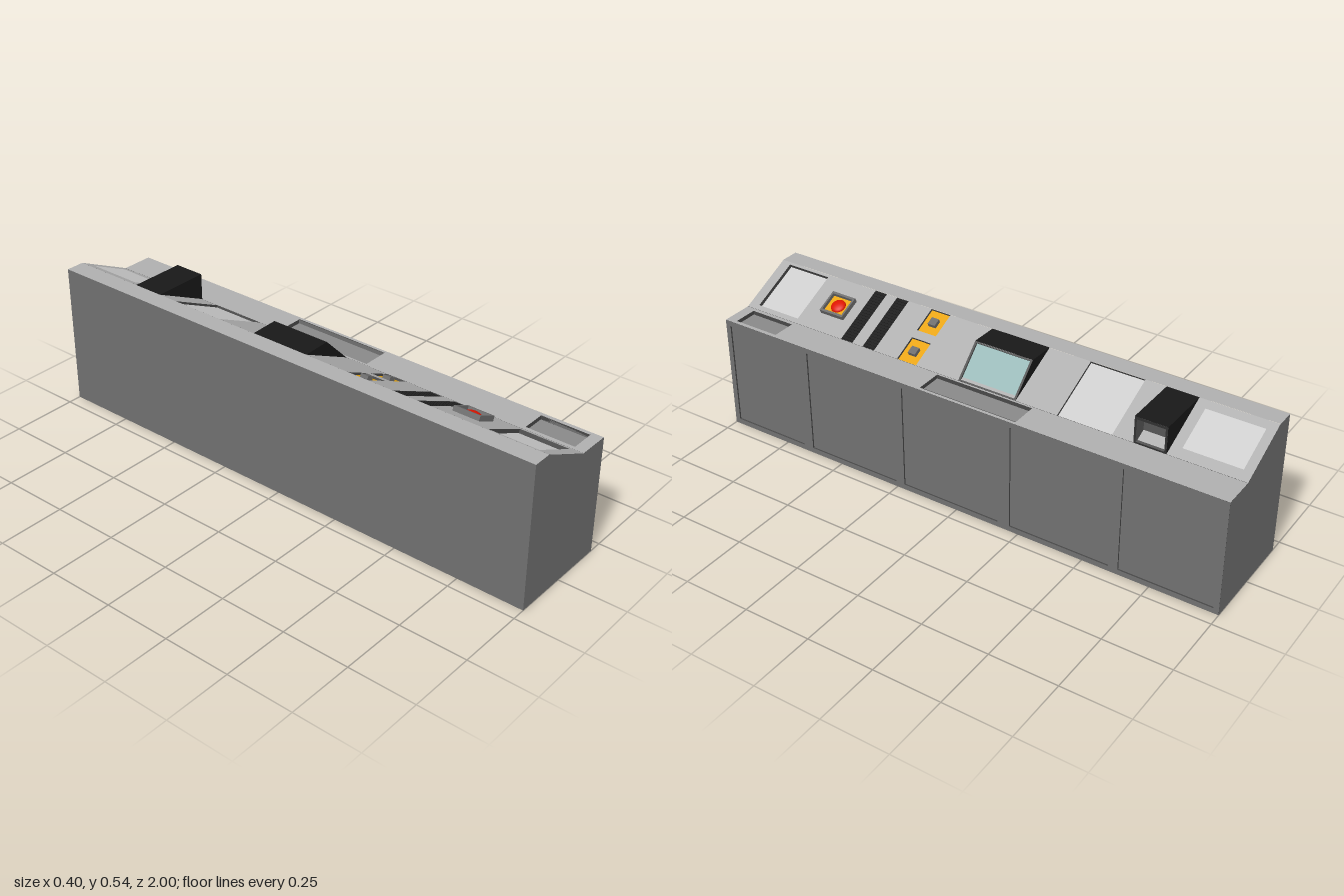
import * as THREE from 'three';

const BASE = 0x707070, TOP = 0xafafaf, LIGHT = 0xcccccc, TRAY = 0x898989, WALL = 0x484848;
const BLACK = 0x181818, FRAME = 0x484848, INNER = 0x555555, STEEL = 0x6c6c6c;
const YELLOW = 0xe8a40c, RED = 0xdd1500, SCREEN = 0x93b5b4;
const mats = {};
const mat = (c) => (mats[c] ??= new THREE.MeshStandardMaterial({ color: c }));

function add(parent, name, geo, color, x = 0, y = 0, z = 0) {
  const m = new THREE.Mesh(geo, Array.isArray(color) ? color.map(mat) : mat(color));
  m.name = name;
  m.position.set(x, y, z);
  parent.add(m);
  return m;
}

function rect(Type, u0, u1, v0, v1) {
  const s = new Type();
  s.moveTo(u0, v0);
  s.lineTo(u1, v0);
  s.lineTo(u1, v1);
  s.lineTo(u0, v1);
  s.closePath();
  return s;
}

// Slab whose top lies at local z = top, pierced by recesses { u: [a, b], v: [a, b], depth, color, name }
function slab(parent, name, u, v, thick, top, color, wall, recesses) {
  const s = rect(THREE.Shape, ...u, ...v);
  recesses.forEach((r) => s.holes.push(rect(THREE.Path, ...r.u, ...r.v)));
  const g = new THREE.ExtrudeGeometry(s, { depth: thick, bevelEnabled: false });
  add(parent, name, g, [color, wall], 0, 0, top - thick);
  for (const r of recesses) {
    const floor = new THREE.PlaneGeometry(r.u[1] - r.u[0], r.v[1] - r.v[0]);
    add(parent, r.name, floor, r.color, (r.u[0] + r.u[1]) / 2, (r.v[0] + r.v[1]) / 2, top - r.depth);
  }
}

// Shell along z around an (x, y) profile; one face per edge, with recesses and colours by edge number.
// Each edge frame: local x along the edge, local y = world z, local z = outwards.
function shell(parent, name, profile, z0, z1, color, { recesses, colors, thick = 0.015, wall = WALL }) {
  const group = new THREE.Group();
  group.name = name;
  parent.add(group);
  const inset = 0.0004; // keeps slab ends just inside the neighbouring faces
  const frames = profile.map(([ax, ay], i) => {
    const [bx, by] = profile[(i + 1) % profile.length];
    const len = Math.hypot(bx - ax, by - ay), dx = (bx - ax) / len, dy = (by - ay) / len;
    const f = new THREE.Group();
    f.name = name + 'Side' + i;
    f.quaternion.setFromRotationMatrix(new THREE.Matrix4().makeBasis(
      new THREE.Vector3(dx, dy, 0), new THREE.Vector3(0, 0, 1), new THREE.Vector3(dy, -dx, 0)));
    f.position.set(ax, ay, 0);
    group.add(f);
    const c = colors[i] ?? color;
    if (recesses[i])
      slab(f, name + 'Panel', [inset, len - inset], [z0 + inset, z1 - inset], thick, 0, c, wall, recesses[i]);
    else add(f, name + 'Panel', new THREE.PlaneGeometry(len, z1 - z0), c, len / 2, (z0 + z1) / 2, 0);
    return f;
  });
  // end caps
  const cap = new THREE.ShapeGeometry(new THREE.Shape(profile.map((p) => new THREE.Vector2(...p))));
  add(group, name + 'EndCap', cap, color, 0, 0, z1);
  const back = cap.clone();
  const idx = back.index.array;
  for (let i = 0; i < idx.length; i += 3) [idx[i], idx[i + 1]] = [idx[i + 1], idx[i]];
  back.computeVertexNormals();
  add(group, name + 'EndCap', back, color, 0, 0, z0);
  return frames;
}

export function createModel() {
  const model = new THREE.Group();
  model.name = 'controlDesk';

  // distance up the sloped face for a given x
  const slopeLen = Math.hypot(0.21, 0.1);
  const up = (x) => ((0.08 - x) / 0.21) * slopeLen;
  const onSlope = (name, x0, x1, z0, z1, depth, color) =>
    ({ name, u: [up(x1), up(x0)], v: [z0, z1], depth, color });

  const doors = [[0.67, 0.98], [0.255, 0.63], [-0.17, 0.22], [-0.6, -0.216], [-0.98, -0.635]]
    .map((v) => ({ name: 'door', u: [0.02, 0.417], v, depth: 0.006, color: BASE }));
  const trays = [
    { name: 'longTray', u: [0.012, 0.112], v: [-0.23, 0.15], depth: 0.015, color: TRAY },
    { name: 'smallTray', u: [0.015, 0.105], v: [0.78, 0.96], depth: 0.015, color: TRAY },
  ];
  const switchX = [[-0.129, -0.04], [-0.01, 0.079]];
  const stripZ = [[0.425, 0.475], [0.52, 0.57]];
  const slopeRecesses = [
    onSlope('frontDisplay', -0.12, 0.062, 0.78, 0.96, 0.014, LIGHT),
    onSlope('rearDisplay', -0.129, 0.079, -0.525, -0.32, 0.008, LIGHT),
    ...switchX.map(([a, b]) => onSlope('switchPlate', a, b, 0.245, 0.325, 0.008, YELLOW)),
    ...stripZ.map(([a, b]) => onSlope('ventStrip', -0.129, 0.079, a, b, 0.003, BLACK)),
  ];

  // desk body with a lighter worktop
  const profile = [[0.2, 0], [0.2, 0.437], [0.08, 0.437], [-0.13, 0.537], [-0.2, 0.537], [-0.2, 0]];
  const slope = shell(model, 'body', profile, -1, 1, BASE, {
    recesses: { 0: doors, 1: trays, 2: slopeRecesses },
    colors: { 1: TOP, 2: TOP, 3: TOP },
  })[2];

  // flush light plate at the rear
  add(slope, 'rearPlate', new THREE.PlaneGeometry(up(-0.1) - up(0.045), 0.21), LIGHT, up(-0.0275), -0.862, 0.001);

  // switches
  for (const [a, b] of switchX)
    add(slope, 'switch', new THREE.BoxGeometry(0.03, 0.03, 0.014), STEEL, up((a + b) / 2), 0.285, -0.001);

  // fine ribs in the vent strips
  for (const [a, b] of stripZ)
    for (let i = 0; i < 20; i++)
      add(slope, 'ventRib', new THREE.BoxGeometry(0.005, b - a, 0.002), BLACK, 0.01 + i * 0.0112, (a + b) / 2, -0.002);

  // emergency button in its raised frame
  const bu = up(-0.027);
  slab(slope, 'buttonFrame', [bu - 0.045, bu + 0.045], [0.61, 0.71], 0.019, 0.018, STEEL, STEEL, [
    { name: 'buttonPlate', u: [bu - 0.036, bu + 0.036], v: [0.617, 0.703], depth: 0.013, color: YELLOW }]);
  const dome = new THREE.SphereGeometry(0.028, 24, 8, 0, Math.PI * 2, 0, Math.PI / 2).scale(1, 0.45, 1).rotateX(Math.PI / 2);
  add(slope, 'button', dome, RED, bu, 0.66, 0.005);

  // monitor with tilted screen
  const screenLen = Math.hypot(0.105, 0.104);
  shell(model, 'monitor', [[0.08, 0.437], [-0.025, 0.541], [-0.13, 0.538]], -0.16, 0.07, BLACK, {
    recesses: { 0: [{ name: 'screen', u: [0.006, screenLen - 0.006], v: [-0.152, 0.062], depth: 0.006, color: SCREEN }] },
    colors: { 0: FRAME },
  });

  // hood with an upright opening
  shell(model, 'hood', [[0.08, 0.437], [0.08, 0.537], [-0.13, 0.537]], -0.72, -0.602, BLACK, {
    recesses: { 0: [{ name: 'hoodBack', u: [0.006, 0.09], v: [-0.712, -0.61], depth: 0.05, color: INNER }] },
    colors: { 0: 0x303030 },
    thick: 0.05,
    wall: INNER,
  });

  return model;
}
